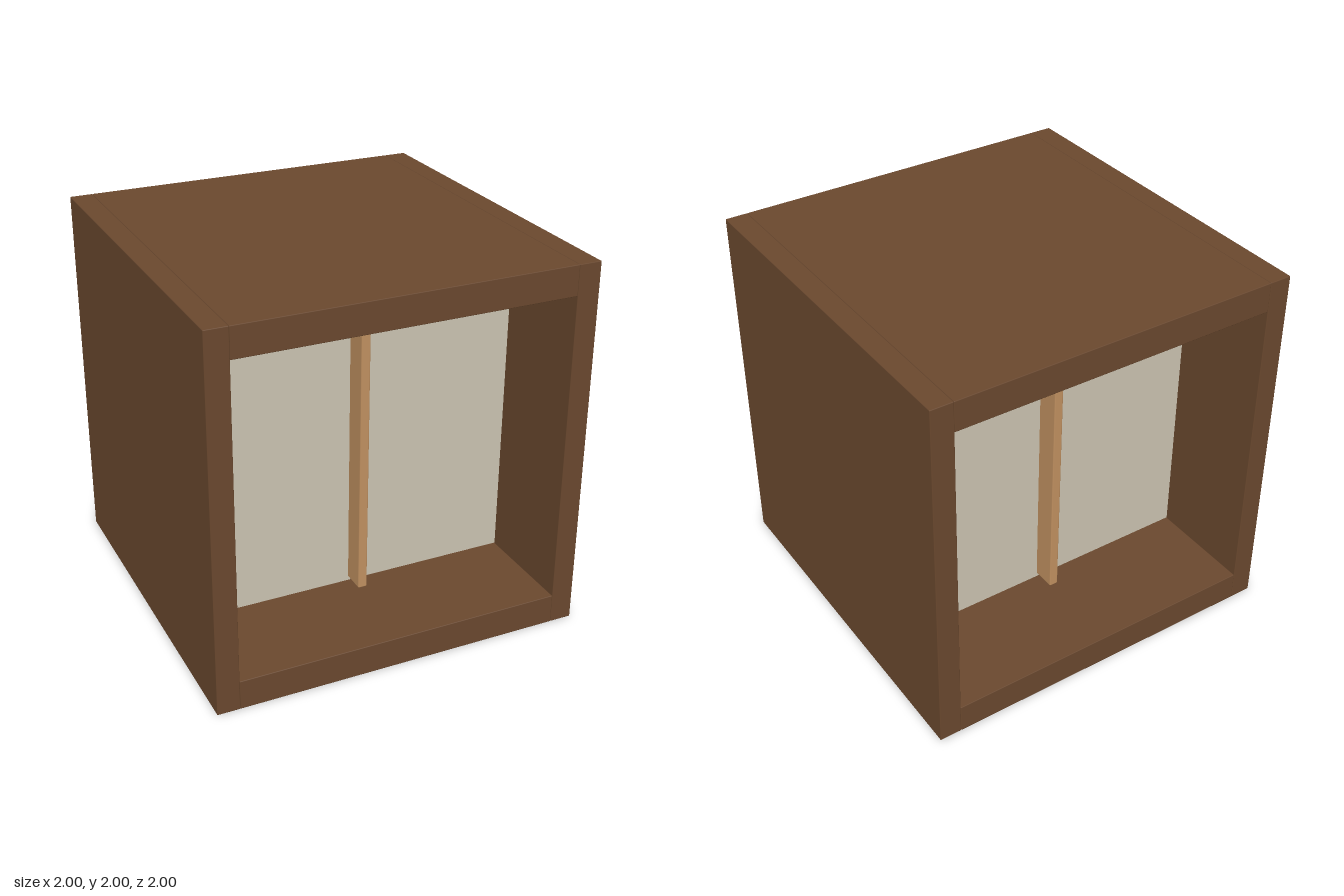
import * as THREE from 'three';
import { RoundedBoxGeometry } from 'three/addons/geometries/RoundedBoxGeometry.js';

function material(name, color) {
  const m = new THREE.MeshStandardMaterial({ color });
  m.name = name;
  return m;
}

export function createModel() {
  const darkWood = material('dark wood', 0x6a482e);
  const lightWood = material('light wood', 0xc09060);
  const paper = material('paper', 0xcbc3b1);
  const model = new THREE.Group();
  model.name = 'framedWindowBlock';

  function add(name, geometry, mat, x, y, z) {
    const mesh = new THREE.Mesh(geometry, mat);
    mesh.name = name;
    mesh.position.set(x, y, z);
    model.add(mesh);
  }
  // Board with a slim chamfer along its edges
  const board = (w, h, d, bevel) => new RoundedBoxGeometry(w, h, d, 1, bevel);

  const depth = 2, side = 0.12, rail = 0.16, panelZ = 0.415;
  const innerW = 2 - side * 2, innerH = 2 - rail * 2;

  // Full-height side boards
  for (const s of [1, -1]) {
    add(s > 0 ? 'leftPost' : 'rightPost', board(side, 2, depth, 0.004), darkWood, s * (1 - side / 2), 1, 0);
  }

  // Top and bottom boards between the sides
  add('topBoard', board(innerW, rail, depth, 0.004), darkWood, 0, 2 - rail / 2, 0);
  add('bottomBoard', board(innerW, rail, depth, 0.004), darkWood, 0, rail / 2, 0);

  // Recessed pale panel, seen from front and back
  add('panel', new THREE.BoxGeometry(innerW, innerH, panelZ * 2), paper, 0, 1, 0);

  // Upright slat standing proud of the panel on each face
  for (const s of [1, -1]) {
    add(s > 0 ? 'frontSlat' : 'backSlat', board(0.05, 1.64, 0.14, 0.007), lightWood, 0, 1, s * (panelZ + 0.055));
  }

  return model;
}
